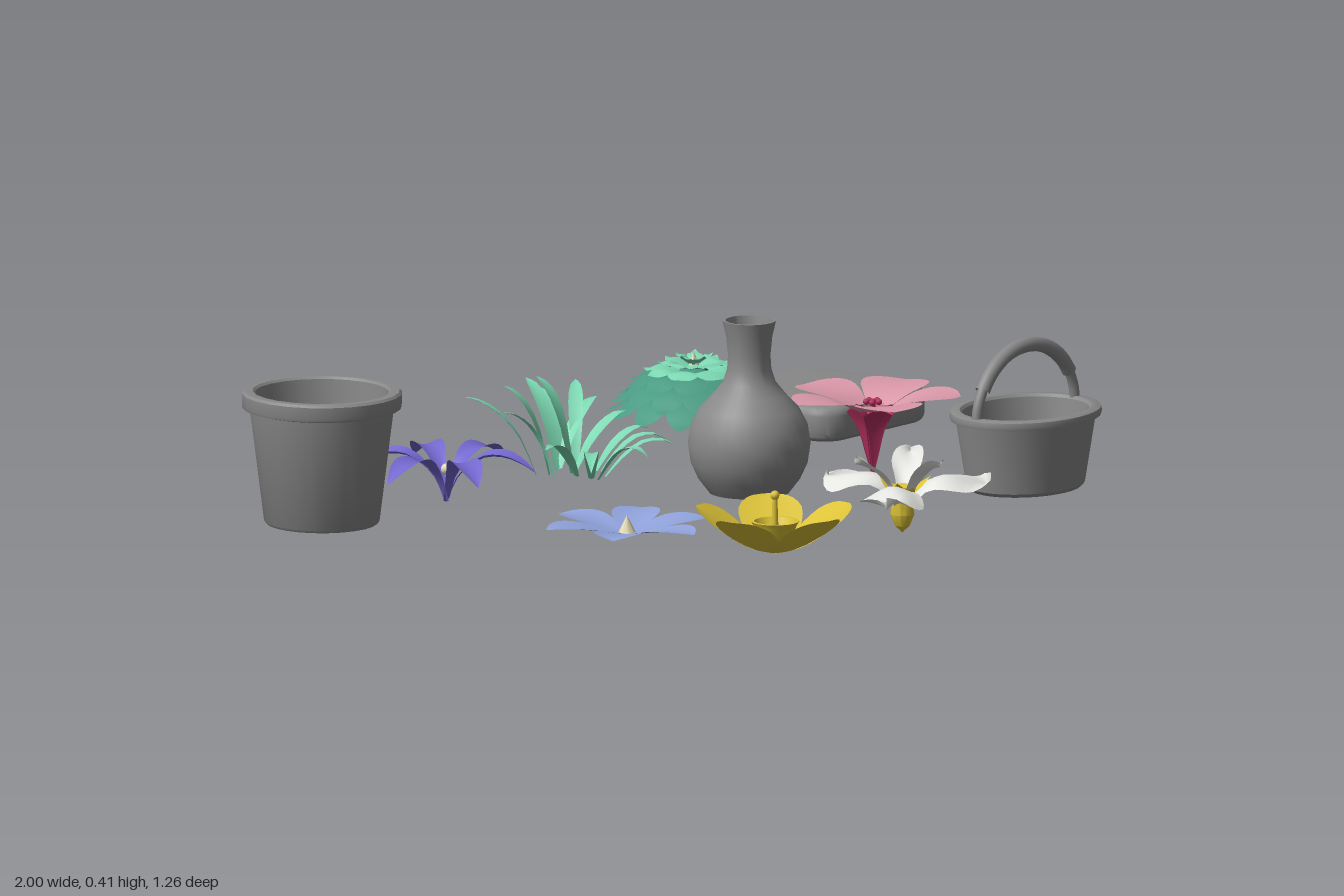
import * as THREE from 'three';
import { toCreasedNormals } from 'three/addons/utils/BufferGeometryUtils.js';

const mat = (name, color, double = true) => {
  const m = new THREE.MeshStandardMaterial({ color, side: double ? THREE.DoubleSide : THREE.FrontSide });
  m.name = name;
  return m;
};

export function createModel() {
  const root = new THREE.Group();
  root.name = 'gardenSet';
  const grey = mat('grey', 0x888888), purple = mat('purple', 0x7468d0), mint = mat('mint', 0x7cd8b2),
    green = mat('green', 0x4a9a82), blue = mat('blue', 0x90a3dc), pink = mat('pink', 0xda98a9),
    magenta = mat('magenta', 0xb5305f), yellow = mat('yellow', 0xdcc238), white = mat('white', 0xe4e4e0),
    cream = mat('cream', 0xe6dcb4);

  const item = (name, x, z) => {
    const g = new THREE.Group();
    g.name = name;
    g.position.set(x, 0, z);
    root.add(g);
    return g;
  };
  const add = (parent, name, geo, material, x = 0, y = 0, z = 0) => {
    const m = new THREE.Mesh(geo, material);
    m.name = name;
    m.position.set(x, y, z);
    parent.add(m);
    return m;
  };
  const lathe = (pts, seg = 24) =>
    toCreasedNormals(new THREE.LatheGeometry(pts.map(p => new THREE.Vector2(...p)), seg), 0.6);

  // Petal surface along +x. Rows are [distance, height, half width].
  // cup lifts the edges, wave ripples them.
  const petalGeo = (rows, { cup = 0, wave = 0, n = 12, across = 6 } = {}) => {
    const curve = new THREE.CatmullRomCurve3(rows.map(r => new THREE.Vector3(...r)));
    const pos = [], idx = [];
    for (let i = 0; i <= n; i++) {
      const p = curve.getPoint(i / n), w = Math.max(p.z, 0);
      for (let j = 0; j <= across; j++) {
        const v = (j / across) * 2 - 1;
        const ripple = wave * Math.sin((i / n) * 7 + v * 2) * v * (i / n);
        pos.push(p.x, p.y + cup * w * v * v + ripple, w * v);
        if (i < n && j < across) {
          const a = i * (across + 1) + j, b = a + across + 1;
          idx.push(a, a + 1, b, a + 1, b + 1, b);
        }
      }
    }
    const g = new THREE.BufferGeometry();
    g.setAttribute('position', new THREE.Float32BufferAttribute(pos, 3));
    g.setIndex(idx);
    g.computeVertexNormals();
    return g;
  };
  const ring = (parent, name, geo, material, count, startDeg) => {
    for (let i = 0; i < count; i++)
      add(parent, name, geo, material).rotation.y = -THREE.MathUtils.degToRad(startDeg + (i * 360) / count);
  };

  // Flower pot
  const pot = item('flowerPot', -0.83, -0.44);
  add(pot, 'potBody', lathe([[0, 0.045], [0.118, 0.045], [0.123, 0.052], [0.153, 0.29], [0.168, 0.294], [0.17, 0.3],
    [0.17, 0.325], [0.165, 0.33], [0.147, 0.33], [0.142, 0.325], [0.14, 0.29], [0.12, 0.075], [0, 0.075]]), grey);

  // Vase
  const vase = item('vase', -0.005, 0.05);
  add(vase, 'vaseBody', lathe([[0, 0.045], [0.085, 0.045], [0.108, 0.075], [0.124, 0.11], [0.13, 0.15], [0.124, 0.19],
    [0.106, 0.225], [0.078, 0.255], [0.056, 0.282], [0.047, 0.31], [0.045, 0.34], [0.049, 0.38], [0.057, 0.415],
    [0.05, 0.415], [0.04, 0.36], [0.038, 0.3], [0.09, 0.22], [0.11, 0.15], [0.08, 0.07], [0, 0.065]], 32), grey);

  // Oval basket with an arched handle and thicker grip
  const basket = item('basket', 0.41, 0.465);
  const bowl = add(basket, 'basketBowl', lathe([[0, 0.045], [0.132, 0.045], [0.14, 0.053], [0.165, 0.195], [0.178, 0.197],
    [0.18, 0.204], [0.178, 0.213], [0.172, 0.216], [0.156, 0.216], [0.15, 0.21], [0.128, 0.065], [0, 0.065]], 32), grey);
  bowl.scale.z = 0.82;
  const arch = (a0, a1, r, name) => {
    const pts = [];
    for (let i = 0; i <= 12; i++) {
      const a = a0 + ((a1 - a0) * i) / 12;
      pts.push(new THREE.Vector3(Math.cos(a) * 0.164, 0.2 + Math.sin(a) * 0.15, 0));
    }
    add(basket, name, new THREE.TubeGeometry(new THREE.CatmullRomCurve3(pts), 32, r, 10), grey);
  };
  arch(0, Math.PI, 0.011, 'basketHandle');
  arch(0.5, Math.PI - 0.5, 0.016, 'handleGrip');

  // Rounded square slab
  const slab = item('slab', 0.82, -0.443);
  const h = 0.158, c = 0.04, sq = new THREE.Shape();
  [[h - c, -h + c, -90], [h - c, h - c, 0], [-h + c, h - c, 90], [-h + c, -h + c, 180]].forEach(([x, y, a]) => {
    const s = THREE.MathUtils.degToRad(a);
    sq.absarc(x, y, c, s, s + Math.PI / 2, false);
  });
  const slabGeo = new THREE.ExtrudeGeometry(sq, { depth: 0.036, bevelSize: 0.02, bevelThickness: 0.02, bevelSegments: 4, curveSegments: 6 });
  slabGeo.rotateX(-Math.PI / 2);
  add(slab, 'slabBody', toCreasedNormals(slabGeo, 0.6), grey, 0, 0.021, 0);

  // Purple flower with six narrow arching petals
  const lily = item('purpleFlower', -0.417, -0.44);
  ring(lily, 'purplePetal', petalGeo([[0, 0.025, 0.006], [0.03, 0.085, 0.012], [0.08, 0.122, 0.027],
    [0.125, 0.125, 0.032], [0.165, 0.11, 0.02], [0.195, 0.09, 0]], { cup: 0.3 }), purple, 6, 0);
  add(lily, 'purpleFlowerCentre', new THREE.SphereGeometry(0.012, 10, 8), cream, 0, 0.095, 0);

  // Blue flower with six broad flat petals
  const bluet = item('blueFlower', -0.417, 0.055);
  ring(bluet, 'bluePetal', petalGeo([[0, 0.02, 0.008], [0.05, 0.028, 0.032], [0.1, 0.038, 0.05], [0.14, 0.042, 0.047],
    [0.168, 0.042, 0.025], [0.183, 0.04, 0]], { cup: 0.12 }), blue, 6, 30);
  add(bluet, 'blueFlowerCentre', new THREE.ConeGeometry(0.02, 0.04, 8), cream, 0, 0.04, 0);

  // Pink flower: magenta throat and five flaring petals
  const hib = item('pinkFlower', 0.405, 0.05);
  ring(hib, 'pinkThroat', petalGeo([[0, 0.015, 0.002], [0.012, 0.07, 0.011], [0.025, 0.125, 0.02], [0.045, 0.163, 0.032]],
    { cup: -0.35, n: 6 }), magenta, 5, -90);
  ring(hib, 'pinkPetal', petalGeo([[0.042, 0.16, 0.03], [0.075, 0.177, 0.052], [0.115, 0.186, 0.072], [0.15, 0.189, 0.07],
    [0.175, 0.189, 0.045], [0.187, 0.188, 0]], { cup: 0.08 }), pink, 5, -90);
  add(hib, 'stamenColumn', new THREE.CylinderGeometry(0.006, 0.008, 0.12, 8), magenta, 0, 0.12, 0);
  for (let i = 0; i < 5; i++)
    add(hib, 'stamenTip', new THREE.SphereGeometry(0.007, 8, 6), magenta,
      Math.cos(i * 1.257) * 0.014, 0.175, Math.sin(i * 1.257) * 0.014);

  // Yellow flower: cupped petals, round corona and pistil
  const butter = item('yellowFlower', -0.417, 0.46);
  ring(butter, 'yellowPetal', petalGeo([[0, 0.03, 0.006], [0.045, 0.042, 0.042], [0.09, 0.07, 0.064], [0.13, 0.098, 0.066],
    [0.158, 0.117, 0.042], [0.172, 0.125, 0]], { cup: 0.12 }), yellow, 5, 28);
  add(butter, 'corona', lathe([[0.02, 0.035], [0.034, 0.06], [0.046, 0.09], [0.052, 0.1], [0.044, 0.1],
    [0.03, 0.07], [0, 0.05]], 20), yellow);
  add(butter, 'pistil', new THREE.CylinderGeometry(0.005, 0.009, 0.11, 8), yellow, 0, 0.1, 0);
  add(butter, 'pistilTip', new THREE.SphereGeometry(0.01, 10, 8), yellow, 0, 0.155, 0);

  // White flower: three wavy outer petals, three small inner ones, yellow heart
  const iris = item('whiteFlower', 0, 0.465);
  ring(iris, 'whitePetal', petalGeo([[0.01, 0.06, 0.01], [0.05, 0.11, 0.028], [0.095, 0.128, 0.058], [0.14, 0.12, 0.068],
    [0.18, 0.105, 0.045], [0.2, 0.098, 0]], { cup: -0.25, wave: 0.028 }), white, 3, 30);
  ring(iris, 'whiteInnerPetal', petalGeo([[0.005, 0.06, 0.008], [0.03, 0.11, 0.02], [0.06, 0.145, 0.033],
    [0.09, 0.16, 0.028], [0.108, 0.165, 0]], { cup: 0.4, wave: 0.012 }), white, 3, 90);
  add(iris, 'yellowHeart', lathe([[0, 0.01], [0.016, 0.025], [0.026, 0.05], [0.022, 0.08], [0.03, 0.11], [0, 0.1]], 12), yellow);
  ring(iris, 'yellowThroat', petalGeo([[0.005, 0.08, 0.01], [0.035, 0.106, 0.015], [0.065, 0.128, 0]], { n: 6 }), yellow, 3, 30);

  // Domed rosette of pointed leaves: count, reach, tip height, base radius, base height, half width
  const rosette = item('rosette', 0.405, -0.44);
  [[12, 0.192, 0.085, 0.07, 0.13, 0.036, green], [12, 0.178, 0.115, 0.06, 0.155, 0.036, green],
    [10, 0.148, 0.15, 0.045, 0.175, 0.036, green], [8, 0.112, 0.178, 0.03, 0.18, 0.034, mint],
    [8, 0.078, 0.2, 0.015, 0.185, 0.024, mint], [5, 0.042, 0.216, 0.004, 0.19, 0.016, mint]]
    .forEach(([n, r, y, r0, y0, w, m], k) => {
      const at = t => r0 + (r - r0) * t, up = t => y0 + (y - y0) * t;
      ring(rosette, 'rosetteLeaf', petalGeo([[at(0), up(0), w * 0.4], [at(0.35), up(0.2) + 0.008, w * 0.9],
        [at(0.6), up(0.5) + 0.008, w], [at(0.82), up(0.78), w * 0.6], [r, y, 0]],
      { cup: -0.15, n: 8, across: 2 }), m, n, (k % 2) * (180 / n));
    });
  add(rosette, 'rosetteHeart', new THREE.ConeGeometry(0.012, 0.03, 6), cream, 0, 0.205, 0);
  add(rosette, 'rosetteCore', lathe([[0.02, 0.08], [0.1, 0.1], [0.09, 0.14], [0.05, 0.17], [0, 0.185]], 12), green);

  // Loose blades: base x, base z, tip x, tip z, tip height
  const blades = item('grassBlades', 0, -0.43);
  [[-0.07, -0.05, -0.165, -0.17, 0.19], [-0.05, -0.03, -0.095, -0.12, 0.21], [-0.06, -0.01, -0.165, -0.06, 0.17],
    [-0.02, 0.02, -0.155, 0.045, 0.1], [-0.02, 0.06, -0.13, 0.15, 0.06], [-0.02, 0.08, 0.005, 0.195, 0.08],
    [0, -0.05, 0.04, -0.17, 0.2], [0.05, -0.08, 0.095, -0.185, 0.17], [0.05, -0.04, 0.17, -0.14, 0.18],
    [0.02, -0.06, 0.175, -0.085, 0.15], [0.04, -0.03, 0.172, 0, 0.13], [0.05, 0.015, 0.17, 0.06, 0.1],
    [0.05, 0.03, 0.168, 0.115, 0.08], [0.015, 0.07, 0.13, 0.175, 0.08], [0.0, -0.01, -0.01, -0.1, 0.22]]
    .forEach(([x0, z0, x1, z1, y]) => {
      const L = Math.hypot(x1 - x0, z1 - z0), mid = Math.max(y * 0.8, 0.09);
      const g = petalGeo([[0, 0.02, 0.006], [L * 0.22, mid * 0.65, 0.013], [L * 0.5, mid, 0.016],
        [L * 0.8, (mid + y) / 2 + 0.01, 0.011], [L, y, 0]], { cup: 0.25, n: 8, across: 2 });
      add(blades, 'grassBlade', g, mint, x0, 0, z0).rotation.y = -Math.atan2(z1 - z0, x1 - x0);
    });

  return root;
}
